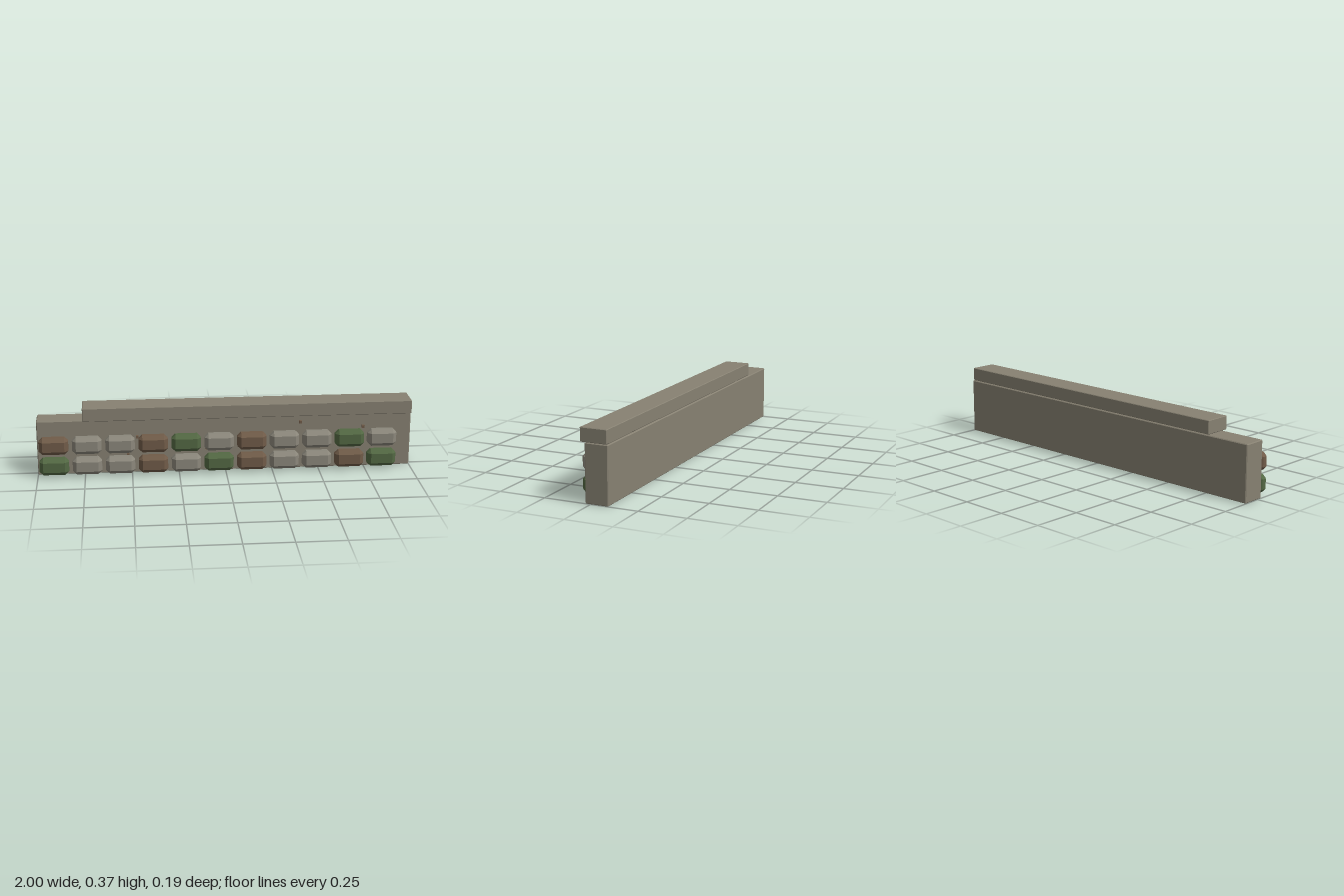
import * as THREE from 'three';
import { ConvexGeometry } from 'three/addons/geometries/ConvexGeometry.js';

const material = (name, color) => {
  const m = new THREE.MeshStandardMaterial({ color });
  m.name = name;
  return m;
};

// Box with flat chamfers along every edge and corner
function chamferBox(w, h, d, c) {
  const points = [];
  for (const x of [-1, 1]) for (const y of [-1, 1]) for (const z of [-1, 1]) {
    for (let axis = 0; axis < 3; axis++) {
      const inset = [c, c, c];
      inset[axis] = 0;
      points.push(new THREE.Vector3(x * (w / 2 - inset[0]), y * (h / 2 - inset[1]), z * (d / 2 - inset[2])));
    }
  }
  return new ConvexGeometry(points);
}

export function createModel() {
  const model = new THREE.Group();
  model.name = 'stoneWall';
  const wallStone = material('wall stone', 0x878172);
  const grey = material('grey stone', 0x8b877b);
  const brown = material('brown stone', 0x705b48);
  const green = material('mossy stone', 0x536843);

  const add = (name, geometry, mat, x, y, z, parent = model) => {
    const mesh = new THREE.Mesh(geometry, mat);
    mesh.name = name;
    mesh.position.set(x, y, z);
    parent.add(mesh);
  };

  // Wall slab and the overhanging coping, which stops short on one side
  add('wallSlab', chamferBox(2, 0.298, 0.123, 0.004), wallStone, 0, 0.15, -0.0335);
  add('coping', chamferBox(1.755, 0.072, 0.142, 0.003), wallStone, 0.1205, 0.336, -0.018);

  // Two courses of facing stones: n = brown, m = mossy, g = grey
  const colours = { n: brown, m: green, g: grey };
  const stone = chamferBox(0.155, 0.093, 0.065, 0.02);
  const courses = [['lowerCourse', 'mggngmnggnm', 0.0625], ['upperCourse', 'nggnmgnggmg', 0.1765]];
  for (const [name, pattern, y] of courses) {
    const course = new THREE.Group();
    course.name = name;
    model.add(course);
    [...pattern].forEach((key, i) => {
      add('facingStone', stone, colours[key], -0.912 + i * 0.1749, y, 0.0645, course);
    });
  }

  // Small chips scattered over the face
  const chip = new THREE.BoxGeometry(0.014, 0.015, 0.013);
  const chips = [[-0.47, 0.205], [-0.52, 0.108], [0.16, 0.132], [0.4, 0.265], [0.74, 0.23], [-0.1, 0.132]];
  for (const [x, y] of chips) add('chip', chip, brown, x, y, 0.0425);

  return model;
}
